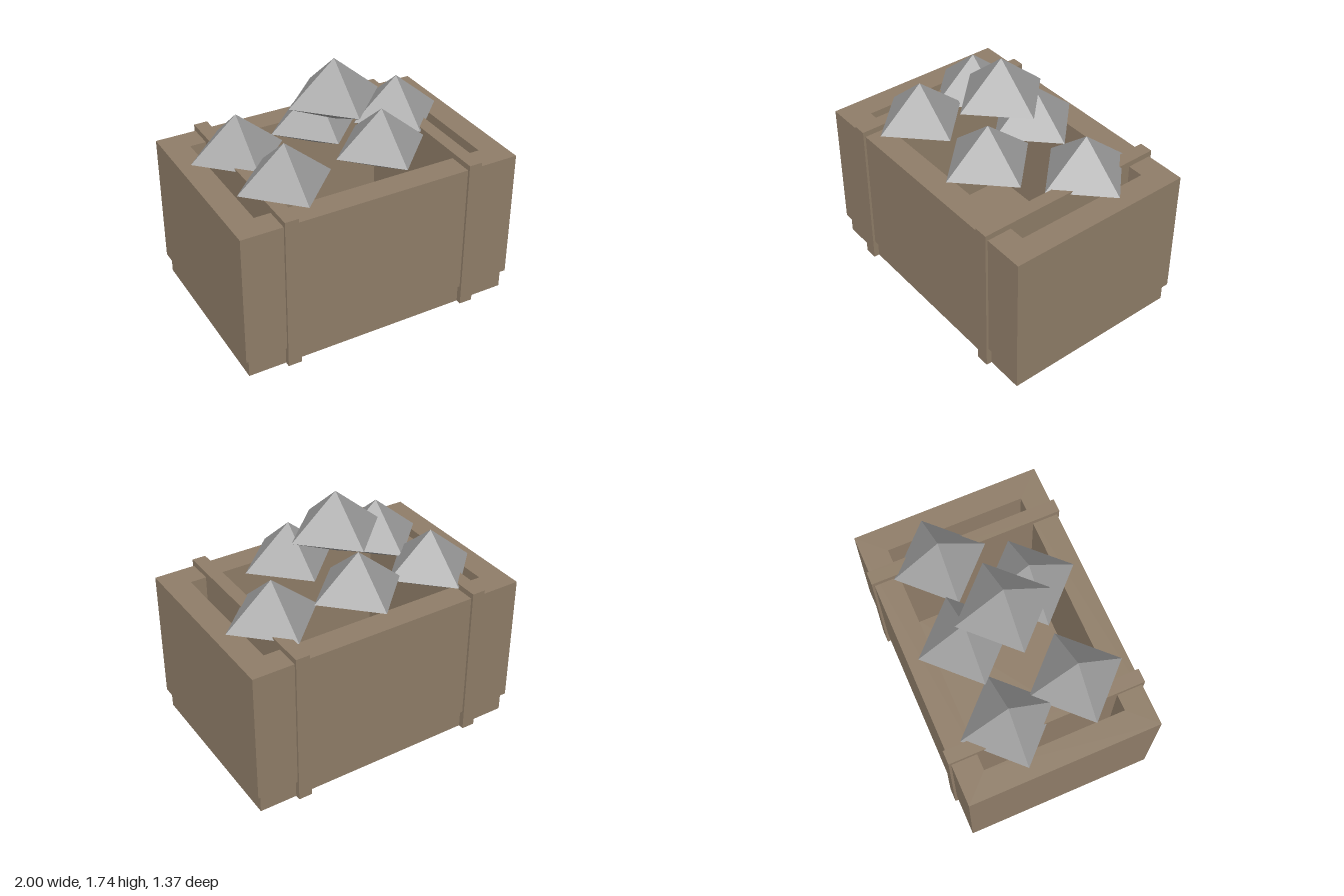
import * as THREE from 'three';

export function createModel() {
  const model = new THREE.Group();
  const wood = new THREE.MeshStandardMaterial({ color: 0x8f7d68 });
  wood.name = 'brown wood';
  const stone = new THREE.MeshStandardMaterial({ color: 0x999999, flatShading: true });
  stone.name = 'grey stone';

  const add = (name, geometry, material, x, y, z) => {
    const mesh = new THREE.Mesh(geometry, material);
    mesh.name = name;
    mesh.position.set(x, y, z);
    model.add(mesh);
  };

  // Base plinth, which also closes the floor
  add('crateBase', new THREE.BoxGeometry(1.95, 0.14, 1.29), wood, 0, 0.07, 0);

  // Thick walls: a rectangular frame extruded upwards
  const rectangle = (Type, w, d) => new Type([
    new THREE.Vector2(-w, -d), new THREE.Vector2(w, -d),
    new THREE.Vector2(w, d), new THREE.Vector2(-w, d),
  ]);
  const frame = rectangle(THREE.Shape, 1, 0.667);
  frame.holes.push(rectangle(THREE.Path, 0.825, 0.49));
  const walls = new THREE.ExtrudeGeometry(frame, { depth: 0.935, bevelEnabled: false });
  walls.rotateX(-Math.PI / 2);
  add('crateWalls', walls, wood, 0, 0.137, 0);

  // Two upright planks running through the crate from front to back
  for (const side of [-1, 1]) {
    add(side < 0 ? 'rightStrap' : 'leftStrap',
      new THREE.BoxGeometry(0.095, 1.112, 1.368), wood, side * 0.665, 0.556, 0);
  }

  // Four-sided stones, taller above the middle than below
  const profile = [[0, -0.15], [0.33, 0], [0, 0.285]].map(([r, y]) => new THREE.Vector2(r, y));
  const stoneShape = new THREE.LatheGeometry(profile, 4);
  const places = [
    [-0.6, 1.095, -0.227],
    [0, 1.135, -0.268],
    [0.6, 1.095, -0.203],
    [-0.51, 1.115, 0.285],
    [0.2, 1.16, 0.265],
    [0, 1.45, 0],
  ];
  places.forEach((p, i) => add('stone' + (i + 1), stoneShape, stone, ...p));

  return model;
}
